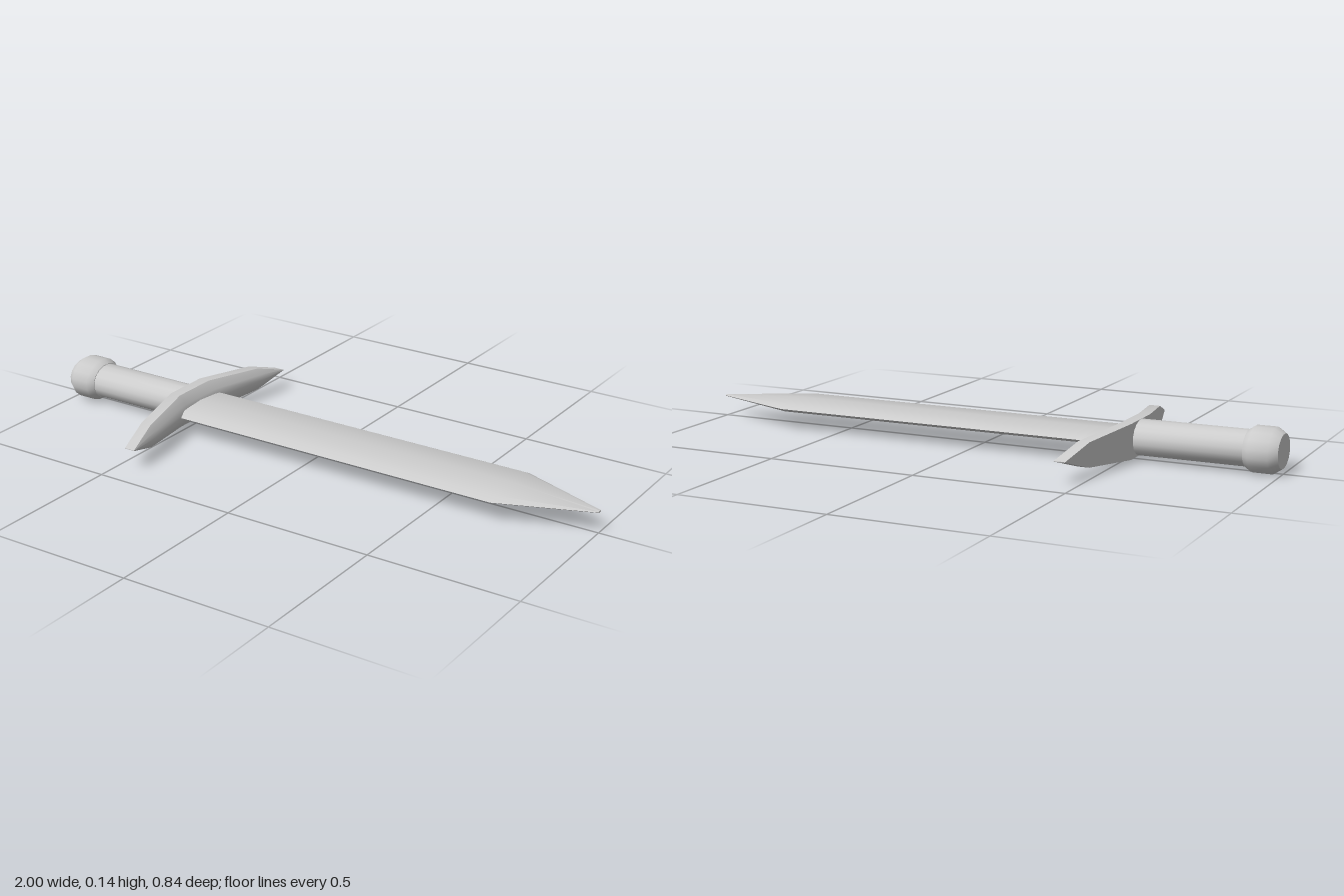
import * as THREE from 'three';
import { toCreasedNormals } from 'three/addons/utils/BufferGeometryUtils.js';

const MID = 0.073; // height of the sword's long axis
const material = new THREE.MeshStandardMaterial({ color: 0xcccccc });

function part(name, geometry, crease = 0.9) {
  const mesh = new THREE.Mesh(toCreasedNormals(geometry, crease), material);
  mesh.name = name;
  mesh.position.y = MID;
  return mesh;
}

// Skin a row of closed rings (counter-clockwise about the travel axis), capped at both ends
function loft(rings) {
  const n = rings[0].length;
  const index = [];
  for (let i = 0; i < rings.length - 1; i++) {
    for (let j = 0; j < n; j++) {
      const k = (j + 1) % n;
      const a = i * n + j, b = i * n + k, c = b + n, d = a + n;
      index.push(a, b, c, a, c, d);
    }
  }
  const last = (rings.length - 1) * n;
  for (let j = 1; j < n - 1; j++) {
    index.push(0, j + 1, j, last, last + j, last + j + 1);
  }
  const geometry = new THREE.BufferGeometry();
  geometry.setAttribute('position', new THREE.Float32BufferAttribute(rings.flat(2), 3));
  geometry.setIndex(index);
  return geometry;
}

// Turned part lying along x, flattened a little in y; profile is [radius, x]
function turned(profile) {
  const points = profile.map(([r, x]) => new THREE.Vector2(r, x));
  return new THREE.LatheGeometry(points, 16)
    .rotateY(Math.PI / 16)
    .rotateZ(-Math.PI / 2)
    .scale(1, 0.84, 1);
}

function makeBlade() {
  // Cross-section as [y, z], a shallow lens
  const section = [
    [0.0195, 0], [0.013, 0.1], [0, 0.126], [-0.013, 0.1],
    [-0.0195, 0], [-0.013, -0.1], [0, -0.126], [0.013, -0.1],
  ];
  // Stations along x: [x, thickness scale, width scale]
  const stations = [[-0.49, 1, 1], [0.7, 1, 1], [1, 0.15, 0.07]];
  return loft(stations.map(([x, sy, sz]) => section.map(([y, z]) => [x, y * sy, z * sz])));
}

function makeGuard() {
  // Stations across z: [z, x of the flat back, half height]
  const half = [[0.08, -0.54, 0.057], [0.3, -0.492, 0.039], [0.42, -0.465, 0.001]];
  const stations = [...half.map(([z, x, h]) => [-z, x, h]).reverse(), ...half];
  return loft(stations.map(([z, x, h]) => {
    const bulge = 0.03 * h / 0.057; // rounded front face
    const edge = x + 0.037;
    return [
      [x, h, z], [x, -h, z], [edge, -h, z],
      [edge + bulge * 0.75, -h * 0.5, z], [edge + bulge, 0, z],
      [edge + bulge * 0.75, h * 0.5, z], [edge, h, z],
    ];
  }));
}

export function createModel() {
  const sword = new THREE.Group();
  sword.name = 'sword';
  sword.add(
    part('pommel', turned([
      [0, -1], [0.065, -1], [0.086, -0.973], [0.086, -0.91], [0.07, -0.89], [0, -0.89],
    ])),
    part('grip', turned([[0, -0.9], [0.068, -0.9], [0.068, -0.52], [0, -0.52]])),
    part('crossGuard', makeGuard()),
    part('blade', makeBlade()),
  );
  return sword;
}
